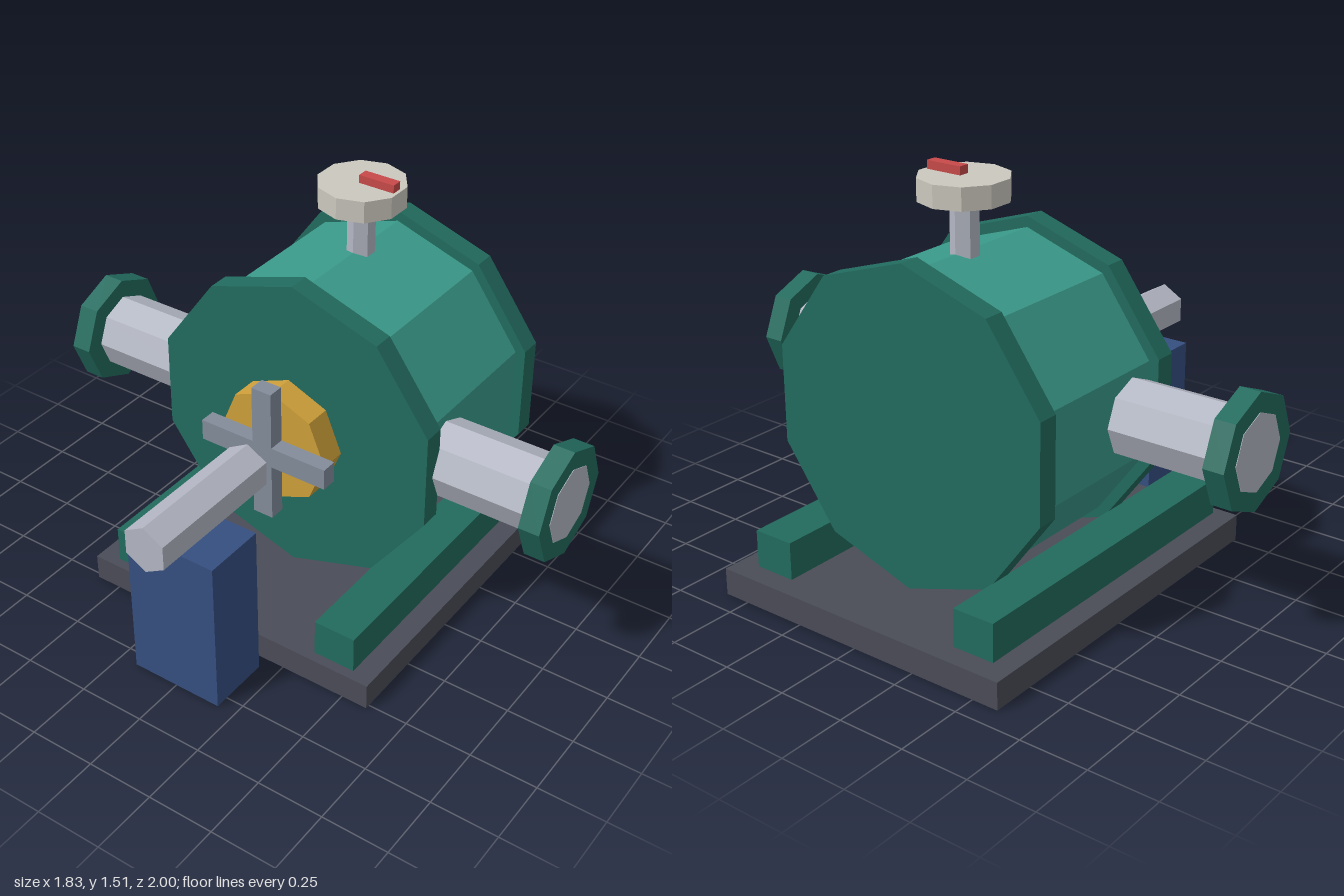
import * as THREE from 'three';

function paint(name, color) {
  const m = new THREE.MeshStandardMaterial({ color, flatShading: true });
  m.name = name;
  return m;
}

export function createModel() {
  const model = new THREE.Group();
  model.name = 'pump';

  const charcoal = paint('charcoal', 0x4a4c57);
  const teal = paint('teal', 0x3a9a8a);
  const green = paint('dark green', 0x226b5e);
  const steel = paint('steel', 0xb4b8c4);
  const gold = paint('gold', 0xcfa03a);
  const grey = paint('blue grey', 0x838c9b);
  const blue = paint('blue', 0x354f80);
  const cream = paint('cream', 0xcbc8be);
  const red = paint('red', 0xc84a4a);

  function add(name, geometry, material) {
    const mesh = new THREE.Mesh(geometry, material);
    mesh.name = name;
    model.add(mesh);
  }

  // Box given by its lower and upper limits on each axis
  function box(name, material, [x0, x1], [y0, y1], [z0, z1]) {
    const g = new THREE.BoxGeometry(x1 - x0, y1 - y0, z1 - z0);
    g.translate((x0 + x1) / 2, (y0 + y1) / 2, (z0 + z1) / 2);
    add(name, g, material);
  }

  // Faceted prism along an axis, from a to b; u and v locate its centre line
  function prism(name, material, axis, sides, radius, a, b, u, v) {
    const g = new THREE.CylinderGeometry(radius, radius, b - a, sides, 1, false, Math.PI / 2);
    const mid = (a + b) / 2;
    if (axis === 'x') g.rotateZ(Math.PI / 2).translate(mid, u, v);
    if (axis === 'y') g.translate(u, mid, v);
    if (axis === 'z') g.rotateX(Math.PI / 2).translate(u, v, mid);
    add(name, g, material);
  }

  const axisY = 0.68;

  // Base plate, rails and drive support
  box('basePlate', charcoal, [-0.517, 0.917], [0, 0.1], [-0.6, 0.6]);
  box('frontRail', green, [-0.48, 0.836], [0.1, 0.24], [0.36, 0.52]);
  box('backRail', green, [-0.48, 0.836], [0.1, 0.24], [-0.52, -0.36]);
  box('shaftSupport', blue, [-0.8, -0.563], [0, 0.6], [-0.18, 0.18]);

  // Drum between two end plates
  prism('drum', teal, 'x', 10, 0.54, -0.024, 0.557, axisY, 0);
  prism('rightEndPlate', green, 'x', 10, 0.58, -0.103, -0.023, axisY, 0);
  prism('leftEndPlate', green, 'x', 10, 0.58, 0.556, 0.636, axisY, 0);

  // Front and back pipes with flanges; pipe ends sit just proud
  for (const [side, s] of [['front', 1], ['back', -1]]) {
    const span = (a, b) => (s > 0 ? [a, b] : [-b, -a]);
    prism(side + 'Pipe', steel, 'z', 8, 0.14, ...span(0.3, 1.0), 0.077, axisY);
    prism(side + 'PipeFlange', green, 'z', 8, 0.21, ...span(0.92, 0.998), 0.077, axisY);
  }

  // Bearing, cross coupling and drive shaft
  prism('bearing', gold, 'x', 8, 0.22, -0.223, -0.123, axisY, 0);
  box('couplingUpright', grey, [-0.283, -0.223], [0.42, 0.94], [-0.04, 0.04]);
  box('couplingCrossbar', grey, [-0.283, -0.223], [0.64, 0.72], [-0.26, 0.26]);
  prism('driveShaft', steel, 'x', 6, 0.09, -0.917, -0.363, axisY, 0);

  // Gauge on top
  prism('gaugeStem', steel, 'y', 6, 0.05, 1.2, 1.4, 0.316, 0);
  prism('gaugeDial', cream, 'y', 10, 0.16, 1.4, 1.48, 0.316, 0);
  box('gaugeNeedle', red, [0.296, 0.336], [1.48, 1.51], [0, 0.14]);

  return model;
}
